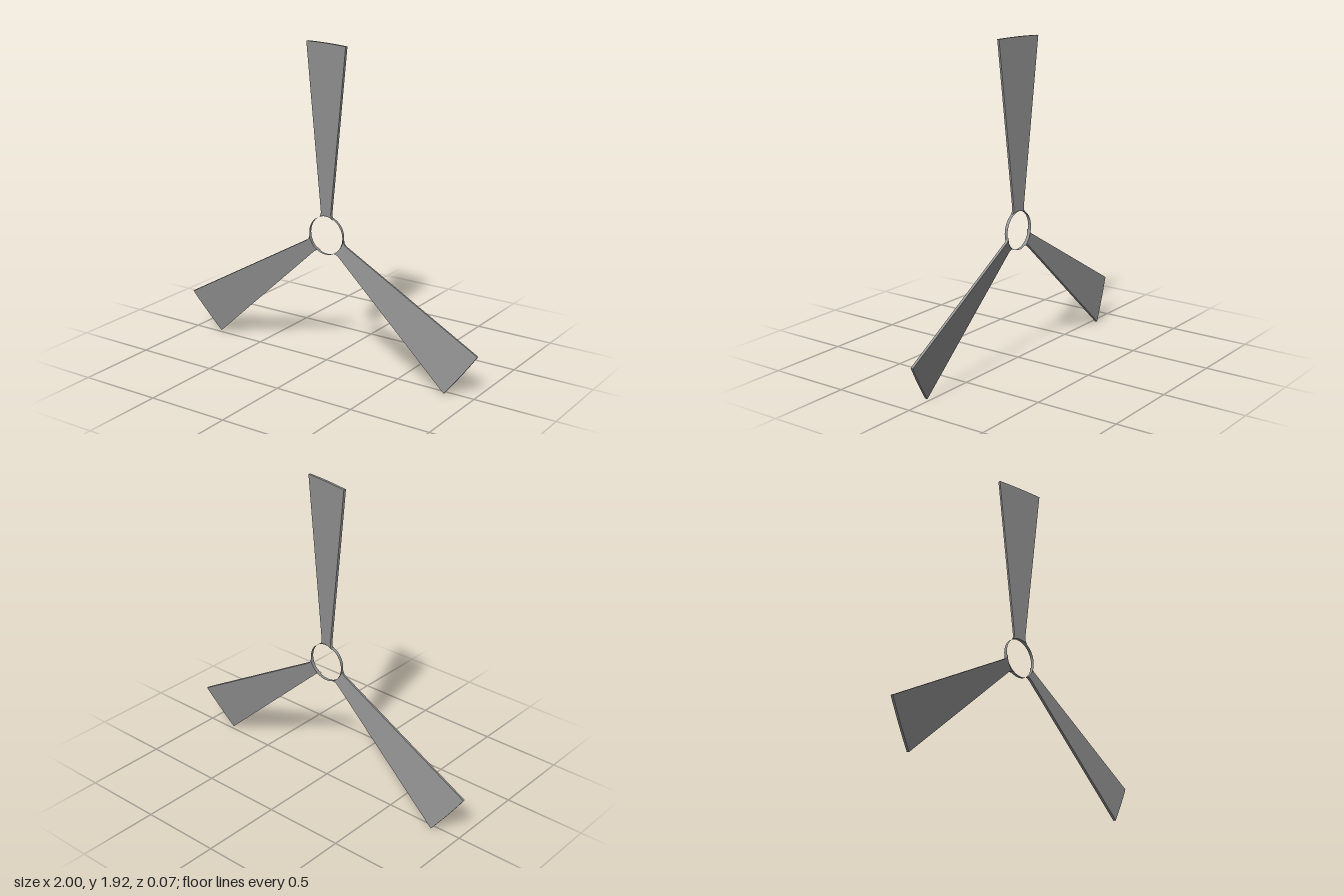
import * as THREE from 'three';

const HUB_Y = 0.787, HUB_R = 0.117, TIP_R = 1.128;
const PITCH = THREE.MathUtils.degToRad(10);
const SPREAD = THREE.MathUtils.degToRad(126);
const THICK = 0.015;
const GREY = 0x909090;

// Tapered blade outline: flared root hugging the hub, slightly bowed tip
function bladeOutline() {
  const half = Math.asin(0.053 / HUB_R);
  const rootY = HUB_R * Math.cos(half);
  const s = new THREE.Shape();
  s.moveTo(0.053, rootY);
  s.quadraticCurveTo(0.039, 0.115, 0.04, 0.14);
  s.lineTo(0.154, TIP_R);
  s.quadraticCurveTo(0, TIP_R + 0.006, -0.154, TIP_R);
  s.lineTo(-0.04, 0.14);
  s.quadraticCurveTo(-0.039, 0.115, -0.053, rootY);
  s.absarc(0, 0, HUB_R, Math.PI / 2 + half, Math.PI / 2 - half, true);
  return s;
}

export function createModel() {
  const model = new THREE.Group();
  model.name = 'rotor';
  const material = new THREE.MeshStandardMaterial({ color: GREY });

  // Three pitched blades around the hub axis
  const bladeGeometry = new THREE.ExtrudeGeometry(bladeOutline(), {
    depth: THICK, bevelEnabled: false, curveSegments: 12,
  });
  bladeGeometry.translate(0, 0, -THICK / 2);
  bladeGeometry.rotateY(-PITCH);
  [['topBlade', 0], ['leftBlade', -SPREAD], ['rightBlade', SPREAD]].forEach(([name, angle]) => {
    const blade = new THREE.Mesh(bladeGeometry, material);
    blade.name = name;
    blade.position.y = HUB_Y;
    blade.rotation.z = angle;
    model.add(blade);
  });

  // Thin open hub band joining the blade roots
  const bandGeometry = new THREE.CylinderGeometry(HUB_R, HUB_R, 0.02, 48, 1, true);
  bandGeometry.rotateX(Math.PI / 2);
  const band = new THREE.Mesh(bandGeometry, new THREE.MeshStandardMaterial({
    color: GREY, side: THREE.DoubleSide,
  }));
  band.name = 'hubBand';
  band.position.y = HUB_Y;
  model.add(band);

  return model;
}
